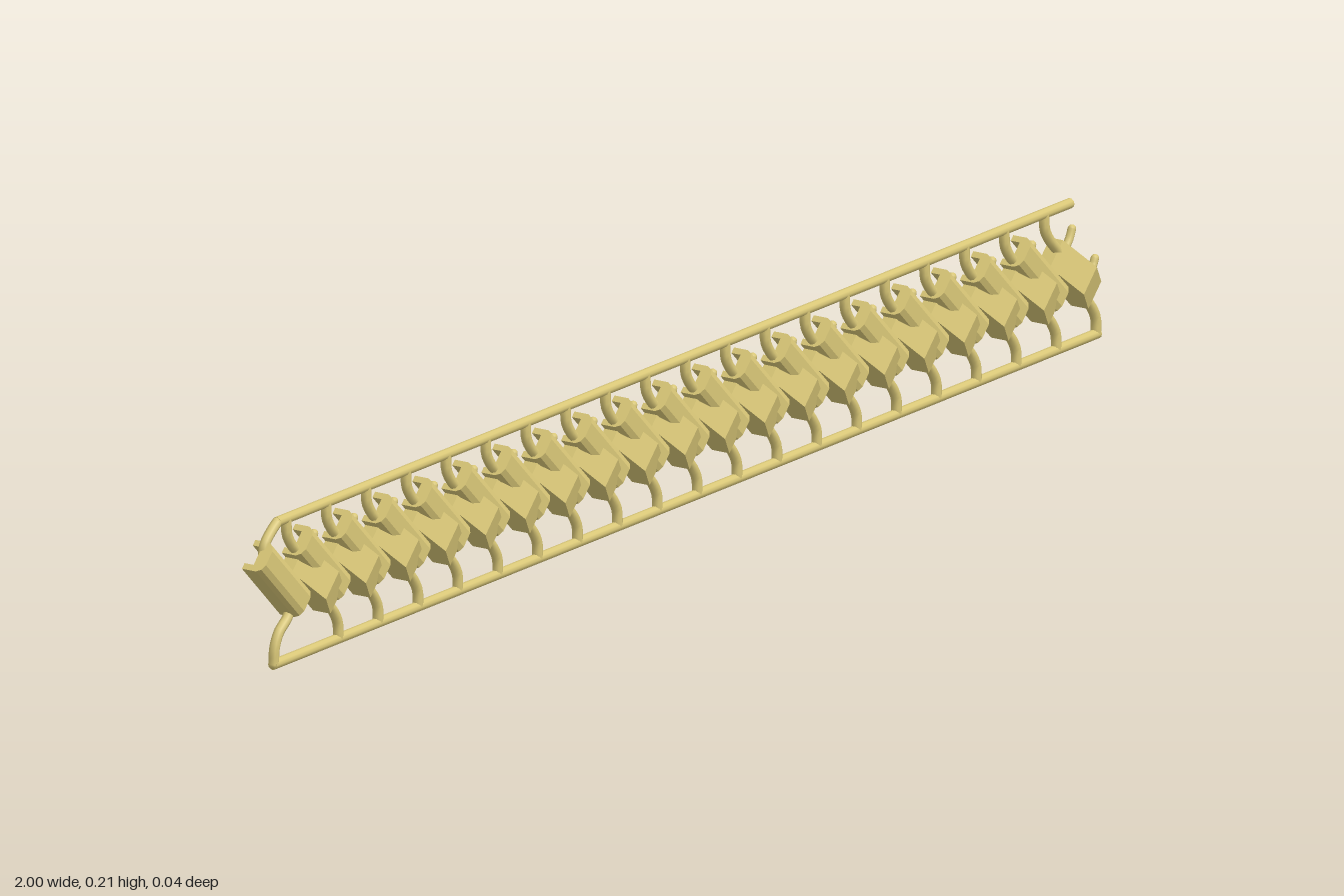
import * as THREE from 'three';

const gold = new THREE.MeshStandardMaterial({ color: 0xdac878 });
const goldFlat = new THREE.MeshStandardMaterial({ color: 0xdac878, flatShading: true });
const RAIL_Z = -0.005, COUNT = 20, PITCH = 0.094, FIRST_X = -0.856;

// Axes of the tilted links: along the link, towards the front, across it
const along = new THREE.Vector3(0.72, -0.69, 0).normalize();
const front = new THREE.Vector3(0, 0, 1);
const across = new THREE.Vector3().crossVectors(along, front);

function add(group, name, geometry, material = gold) {
  const mesh = new THREE.Mesh(geometry, material);
  mesh.name = name;
  group.add(mesh);
  return mesh;
}

// Closed outline extruded by depth, centred on the extrusion axis
function extrude(points, depth) {
  const shape = new THREE.Shape(points.map(([a, b]) => new THREE.Vector2(a, b)));
  return new THREE.ExtrudeGeometry(shape, { depth, bevelEnabled: false }).translate(0, 0, -depth / 2);
}

// Round wire through points in the x-y plane, with rounded ends
function wire(group, name, points, radius = 0.0074) {
  const pts = points.map(([x, y]) => new THREE.Vector3(x, y, RAIL_Z));
  const part = new THREE.Group();
  part.name = name;
  add(part, name + 'Wire', new THREE.TubeGeometry(new THREE.CatmullRomCurve3(pts), 10, radius, 8));
  for (const p of [pts[0], pts[pts.length - 1]]) {
    add(part, name + 'End', new THREE.SphereGeometry(radius, 8, 6)).position.copy(p);
  }
  group.add(part);
}

function rail(group, name, x0, x1, y) {
  const geo = new THREE.CylinderGeometry(0.0072, 0.0072, x1 - x0, 10);
  geo.rotateZ(Math.PI / 2);
  add(group, name, geo).position.set((x0 + x1) / 2, y, RAIL_Z);
}

export function createModel() {
  const model = new THREE.Group();
  model.name = 'linkedTrim';

  // Long rails
  rail(model, 'topRail', -0.94, 0.93, 0.207);
  rail(model, 'bottomRail', -0.95, 0.995, 0.0075);

  // Ridged link: side profile extruded across its width
  const linkGeo = extrude([
    [-0.055, -0.021], [0.055, -0.021], [0.055, 0.008], [0.011, 0.023], [-0.055, 0],
  ], 0.044);
  linkGeo.applyMatrix4(new THREE.Matrix4().makeBasis(along, front, across));

  // Channel rod: rounded front, groove open to the back, extruded along its length
  const rodGeo = extrude([
    [-0.023, -0.021], [-0.014, -0.021], [-0.014, -0.006], [0.014, -0.006], [0.014, -0.021], [0.023, -0.021],
    [0.023, 0.002], [0.019, 0.009], [0.011, 0.013], [-0.011, 0.013], [-0.019, 0.009], [-0.023, 0.002],
  ], 0.125);
  rodGeo.applyMatrix4(new THREE.Matrix4().makeBasis(across.clone().negate(), front, along));

  for (let i = 0; i < COUNT; i++) {
    const unit = new THREE.Group();
    unit.name = 'linkUnit';
    unit.position.x = FIRST_X + i * PITCH;
    add(unit, 'ridgedLink', linkGeo, goldFlat).position.y = 0.1075;
    // The rod fills the gap towards the previous link
    add(unit, 'channelRod', rodGeo, goldFlat).position.set(-0.082, 0.126, 0);
    // Curved stems to both rails
    wire(unit, 'topStem', [[-0.061, 0.206], [-0.06, 0.185], [-0.05, 0.168], [-0.033, 0.15], [-0.022, 0.135]]);
    wire(unit, 'bottomStem', [[0.061, 0.008], [0.06, 0.03], [0.05, 0.048], [0.035, 0.064], [0.022, 0.08]]);
    // Hooks reaching into the next rod
    wire(unit, 'upperHook', [[-0.015, 0.142], [-0.003, 0.156], [0.001, 0.163], [0.004, 0.17]], 0.006);
    wire(unit, 'lowerHook', [[0.02, 0.1], [0.038, 0.102], [0.052, 0.105], [0.058, 0.115]], 0.006);
    model.add(unit);
  }

  // Stems joining the first rod to the rails
  wire(model, 'endTopStem', [[-0.94, 0.206], [-0.953, 0.197], [-0.968, 0.182], [-0.972, 0.165]]);
  wire(model, 'endBottomStem', [[-0.947, 0.008], [-0.945, 0.03], [-0.935, 0.05], [-0.917, 0.064], [-0.9, 0.085]]);

  return model;
}
